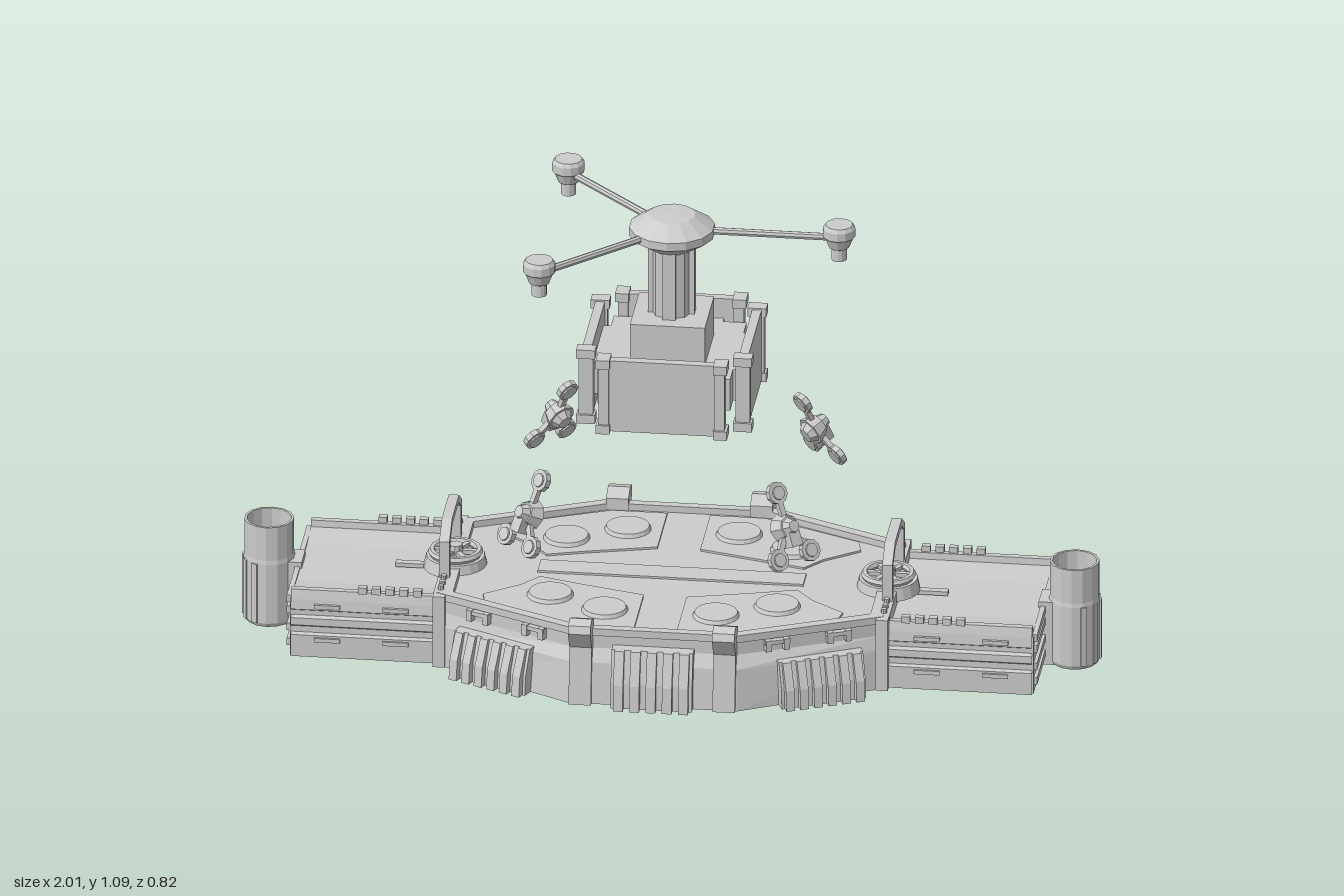
import * as THREE from 'three';

const mat = new THREE.MeshStandardMaterial({ color: 0xcccccc, flatShading: true, side: THREE.DoubleSide });

function add(parent, name, geo, x = 0, y = 0, z = 0) {
  const m = new THREE.Mesh(geo, mat);
  m.name = name;
  m.position.set(x, y, z);
  parent.add(m);
  return m;
}
function group(parent, name, x = 0, y = 0, z = 0, ry = 0) {
  const g = new THREE.Group();
  g.name = name;
  g.position.set(x, y, z);
  g.rotation.y = ry;
  parent.add(g);
  return g;
}
const box = (w, h, d) => new THREE.BoxGeometry(w, h, d);
const cyl = (r1, r2, h, n = 12, open = false) => new THREE.CylinderGeometry(r1, r2, h, n, 1, open);
const lathe = (pts, n = 12) => new THREE.LatheGeometry(pts.map(p => new THREE.Vector2(...p)), n);
const shape = pts => new THREE.Shape(pts.map(p => new THREE.Vector2(...p)));
const extrude = (s, depth) => new THREE.ExtrudeGeometry(s, { depth, bevelEnabled: false });
// [z, y] outline swept along x, centred
const sweepX = (pts, w) => extrude(shape(pts), w).rotateY(-Math.PI / 2).translate(w / 2, 0, 0);
// [x, z] outline laid flat with its underside at y = 0
const slab = (s, h) => extrude(s, h).rotateX(Math.PI / 2).translate(0, h, 0);
const mirrorPts = pts => [...pts, ...pts.slice().reverse().map(([a, b]) => [-a, b])];

const WALL = [[0.51, 0.2], [0.19, 0.345], [-0.19, 0.345], [-0.51, 0.2]];
const outline = k => [...WALL, ...WALL.map(([x, z]) => [-x, -z])].map(([x, z]) => [x * k, z * k]);

// Long wall lofted through three heights, open underneath
function wallGeometry() {
  const levels = [[0, 0.03], [0.1, 0.018], [0.13, 0], [0.18, 0]];
  const pos = [], idx = [];
  for (const [y, o] of levels)
    WALL.forEach(([x, z]) => pos.push(x + Math.sign(x) * o * 0.25, y, z + o * (z > 0.3 ? 1 : 0.4)));
  for (let l = 0; l < levels.length - 1; l++)
    for (let i = 0; i < 3; i++) {
      const a = l * 4 + i, b = a + 1, c = a + 4, d = b + 4;
      idx.push(a, c, b, b, c, d);
    }
  const g = new THREE.BufferGeometry();
  g.setAttribute('position', new THREE.Float32BufferAttribute(pos, 3));
  g.setIndex(idx);
  g.computeVertexNormals();
  return g;
}

function buttress(parent, count, spacing, height) {
  const fin = [[0, 0], [0.065, 0], [0.06, height * 0.45], [0.035, height], [0, height]];
  for (let i = 0; i < count; i++)
    add(parent, 'buttressFin', sweepX(fin, spacing * 0.6), (i - (count - 1) / 2) * spacing);
  add(parent, 'buttressBack', sweepX(fin.map(([z, y]) => [z * 0.75, y]), count * spacing));
}

function buildHull(root) {
  const hull = group(root, 'hull');
  add(hull, 'deck', slab(shape(outline(1)), 0.015), 0, 0.15);
  const rim = shape(outline(1.015));
  rim.holes.push(shape(outline(0.955)));
  add(hull, 'deckRim', slab(rim, 0.018), 0, 0.163);

  // Deck panels and round hatches in each quarter
  for (const sx of [-1, 1]) for (const sz of [-1, 1]) {
    const flip = pts => pts.map(([x, z]) => [x * sx, z * sz]);
    add(hull, 'deckPanel', slab(shape(flip([[0.05, 0.13], [0.2, 0.09], [0.3, 0.06], [0.34, 0.11],
      [0.42, 0.17], [0.41, 0.215], [0.18, 0.315], [0.05, 0.315]])), 0.006), 0, 0.164);
    for (const [x, z] of [[0.13, 0.22], [0.265, 0.155]]) {
      add(hull, 'hatch', cyl(0.05, 0.055, 0.01, 20), x * sx, 0.174, z * sz);
      add(hull, 'hatchUnderside', cyl(0.055, 0.055, 0.006, 20), x * sx, 0.148, z * sz);
    }
  }
  add(hull, 'deckSpine', box(0.62, 0.006, 0.06), 0, 0.167);

  for (const ry of [0, Math.PI]) {
    const side = group(hull, 'hullSide', 0, 0, 0, ry);
    add(side, 'wall', wallGeometry());
    buttress(group(side, 'middleButtress', 0, 0, 0.345), 5, 0.038, 0.14);
    for (const s of [-1, 1]) {
      const post = [[0.325, 0], [0.385, 0], [0.368, 0.14], [0.395, 0.185], [0.388, 0.203], [0.36, 0.21], [0.325, 0.195]];
      add(side, 'cornerPost', sweepX(post, 0.052), 0.168 * s);
      const face = group(side, 'slantedFace', 0.35 * s, 0, 0.275, s * Math.atan2(0.145, 0.32));
      buttress(group(face, 'slantedButtress', 0.025 * s, 0, 0), 6, 0.034, 0.11);
      // Small clamps under the rim
      for (const c of [-0.075, 0.075]) {
        add(face, 'clampBar', box(0.06, 0.01, 0.014), c, 0.155, 0.005);
        for (const e of [-0.022, 0.022]) add(face, 'clampTooth', box(0.014, 0.028, 0.018), c + e, 0.148, 0.005);
      }
    }
  }
}

function buildWing(root, ry) {
  const wing = group(root, 'wing', 0, 0, 0, ry);
  const side = [[0.19, 0], [0.203, 0], [0.203, 0.055], [0.196, 0.06], [0.196, 0.075], [0.203, 0.08], [0.203, 0.098],
    [0.194, 0.103], [0.194, 0.115], [0.203, 0.12], [0.2, 0.145], [0.195, 0.168], [0.18, 0.168], [0.178, 0.152], [0.1, 0.145]];
  const inner = [[0.1, 0.135], [0.19, 0.135]];
  add(wing, 'wingShell', sweepX([...mirrorPts(side), ...mirrorPts(inner).reverse()], 0.36), 0.685);
  add(wing, 'wingEnd', box(0.012, 0.145, 0.39), 0.862, 0.0725);
  for (const y of [0.03, 0.068, 0.112, 0.14]) add(wing, 'endRidge', box(0.012, 0.018, 0.38), 0.87, y);
  for (const s of [-1, 1]) {
    for (let i = 0; i < 5; i++) add(wing, 'rimTooth', box(0.02, 0.016, 0.016), 0.57 + i * 0.032, 0.174, 0.193 * s);
    for (const [x, y] of [[0.62, 0.13], [0.78, 0.13], [0.62, 0.045], [0.78, 0.045]])
      add(wing, 'sideClip', box(0.06, 0.01, 0.01), x, y, 0.203 * s);
    add(wing, 'jointPost', box(0.028, 0.18, 0.03), 0.517, 0.09, 0.208 * s);
    for (const z of [0.125, 0.155, 0.18]) add(wing, 'rivet', cyl(0.007, 0.007, 0.012, 8), 0.517, 0.185, z * s);
  }
  add(wing, 'jointBeam', box(0.03, 0.035, 0.4), 0.517, 0.163);
  add(wing, 'rail', box(0.12, 0.01, 0.018), 0.585, 0.155);

  // Control station with hatch wheel under a chamfered arch
  add(wing, 'stationDrum', cyl(0.068, 0.075, 0.03, 20), 0.505, 0.172);
  add(wing, 'wheelRing', new THREE.TorusGeometry(0.055, 0.009, 6, 20).rotateX(Math.PI / 2), 0.505, 0.195);
  add(wing, 'wheelHub', cyl(0.016, 0.02, 0.03, 10), 0.505, 0.198);
  for (let i = 0; i < 3; i++) add(wing, 'wheelSpoke', box(0.11, 0.01, 0.012), 0.505, 0.195).rotation.y = i * Math.PI / 3;
  const outer = mirrorPts([[0.118, 0.16], [0.118, 0.272], [0.064, 0.308]]);
  const hole = mirrorPts([[0.1, 0.16], [0.1, 0.264], [0.058, 0.291]]);
  add(wing, 'arch', sweepX([...outer, ...hole.reverse()], 0.024), 0.517);

  // End tube with ribs and a sunken floor
  const tube = group(wing, 'endTube', 0.94, 0, 0);
  add(tube, 'tubeWall', lathe([[0.052, 0.2], [0.052, 0.255], [0.058, 0.255], [0.058, 0.17], [0.06, 0.16], [0.06, 0.01], [0.055, 0], [0, 0]], 14));
  add(tube, 'tubeFloor', cyl(0.053, 0.053, 0.01, 14), 0, 0.2);
  add(tube, 'neck', box(0.05, 0.16, 0.07), -0.055, 0.08);
  for (let i = -2; i <= 2; i++) {
    const a = i * 0.55;
    add(tube, 'tubeRib', box(0.01, 0.15, 0.014), 0.058 * Math.cos(a), 0.085, 0.058 * Math.sin(a)).rotation.y = -a;
  }
}

function buildTower(root) {
  const tower = group(root, 'hangingTower');
  add(tower, 'core', box(0.31, 0.08, 0.31), 0, 0.705);
  add(tower, 'pedestal', box(0.175, 0.105, 0.175), 0, 0.788);
  add(tower, 'column', cyl(0.048, 0.048, 0.21, 8), 0, 0.935);
  for (let i = 0; i < 4; i++) {
    const a = i * Math.PI / 2;
    add(tower, 'columnRib', box(0.03, 0.18, 0.012), 0.048 * Math.sin(a), 0.93, 0.048 * Math.cos(a)).rotation.y = a;
    // Armour panel with capped end posts
    const p = group(tower, 'armourPanel', 0, 0.705, 0, a);
    add(p, 'plate', box(0.27, 0.18, 0.022), 0, 0, 0.183);
    add(p, 'plateBack', box(0.2, 0.08, 0.02), 0, 0, 0.165);
    for (const s of [-1, 1]) {
      add(p, 'endPost', box(0.024, 0.18, 0.034), 0.135 * s, 0, 0.183);
      for (const y of [-0.083, 0.083]) add(p, 'postCap', box(0.032, 0.022, 0.044), 0.137 * s, y, 0.183);
    }
  }
  add(tower, 'hub', lathe([[0, 1.005], [0.05, 1.005], [0.1, 1.038], [0.1, 1.058], [0.055, 1.088], [0, 1.09]], 14));
  // Three lamp booms
  for (const a of [0, 0.75 * Math.PI, -0.75 * Math.PI]) {
    const boom = group(tower, 'lampBoom', 0, 0, 0, a);
    add(boom, 'rod', cyl(0.009, 0.009, 0.3, 8).rotateZ(Math.PI / 2), 0.23, 1.05);
    add(boom, 'lamp', lathe([[0, 0.995], [0.018, 0.995], [0.018, 1.024], [0.024, 1.027], [0.033, 1.05],
      [0.038, 1.055], [0.038, 1.075], [0.032, 1.084], [0, 1.084]], 12), 0.39);
  }
}

// Three-paddled floating unit, local z facing outward
function buildDrone(root, sx, sz) {
  const d = group(root, 'floatingUnit', 0.3 * sx, 0.43, 0.272 * sz);
  d.rotation.order = 'YXZ';
  d.rotation.y = Math.atan2(sx, sz);
  d.rotation.x = -0.45;
  const disc = (r1, r2, h, n) => cyl(r1, r2, h, n).rotateX(Math.PI / 2);
  add(d, 'body', disc(0.026, 0.036, 0.03, 8));
  add(d, 'bodyFront', disc(0.014, 0.022, 0.02, 8), 0, 0, 0.024);
  add(d, 'bodyBack', disc(0.03, 0.018, 0.018, 8), 0, 0, -0.022);
  add(d, 'chin', box(0.03, 0.035, 0.035), 0, -0.03, 0.01);
  for (const [x, y] of [[0, 0.082], [0.046, -0.068], [-0.046, -0.068]]) {
    const len = Math.hypot(x, y);
    add(d, 'paddle', disc(0.026, 0.026, 0.014, 10), x, y, 0);
    add(d, 'paddleCap', disc(0.016, 0.02, 0.022, 10), x, y, 0);
    add(d, 'strut', box(0.014, len, 0.012), x / 2, y / 2, 0).rotation.z = Math.atan2(-x, y);
  }
}

export function createModel() {
  const root = new THREE.Group();
  root.name = 'platform';
  buildHull(root);
  for (const ry of [0, Math.PI]) buildWing(root, ry);
  buildTower(root);
  for (const sx of [-1, 1]) for (const sz of [-1, 1]) buildDrone(root, sx, sz);
  return root;
}
